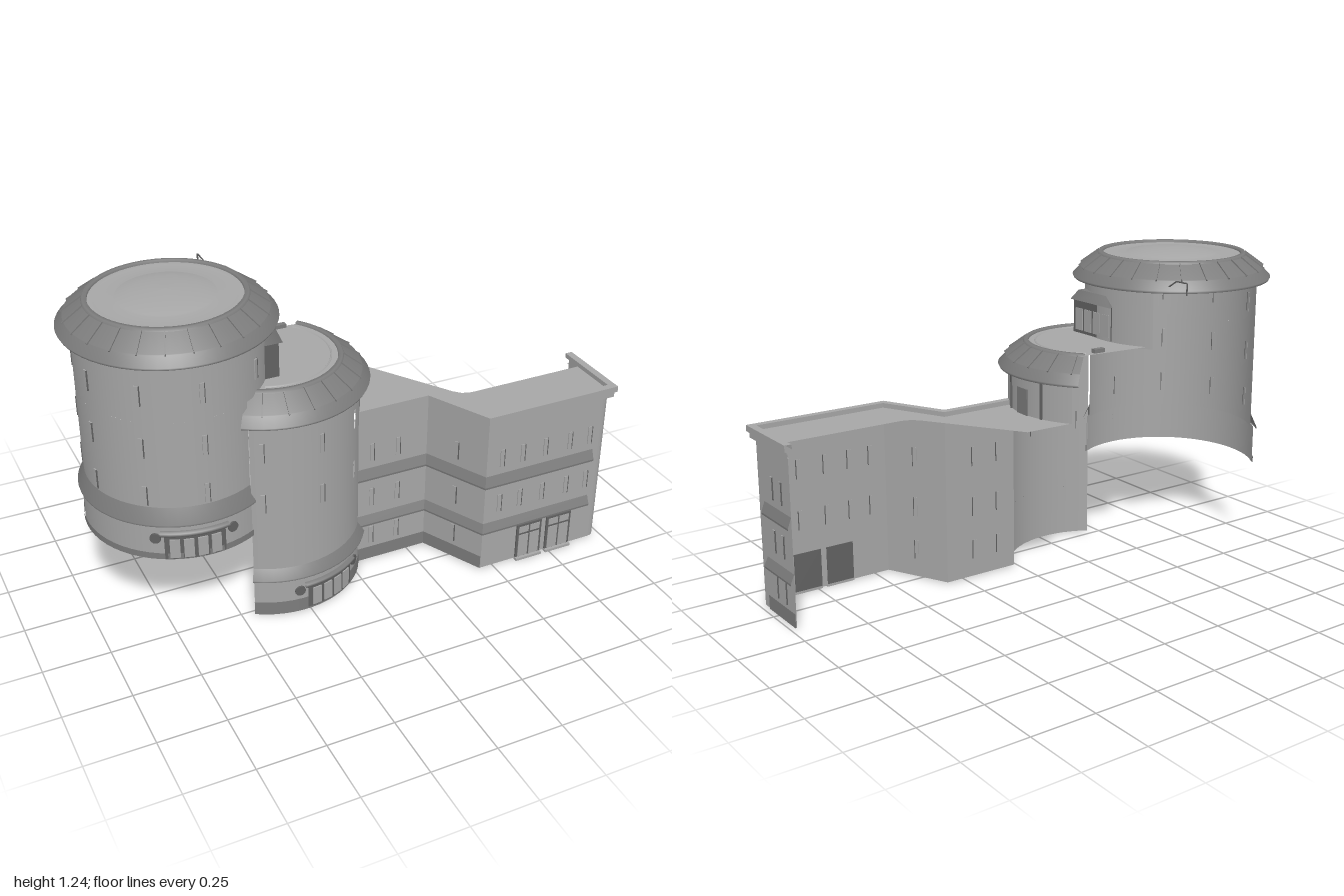
import * as THREE from 'three';

const mat = (name, color) => {
  const m = new THREE.MeshStandardMaterial({ color, side: THREE.DoubleSide });
  m.name = name;
  return m;
};
const RAD = Math.PI / 180;

export function createModel() {
  const wall = mat('wall grey', 0xa6a6a6);
  const tile = mat('tile grey', 0x7c7c7c);
  const frame = mat('frame grey', 0x626262);
  const model = new THREE.Group();

  const group = (name, parent = model) => {
    const g = new THREE.Group();
    g.name = name;
    parent.add(g);
    return g;
  };
  const add = (parent, name, geo, material) => {
    const m = new THREE.Mesh(geo, material);
    m.name = name;
    parent.add(m);
    return m;
  };
  const box = (parent, name, size, pos, material, turn = 0) => {
    const m = add(parent, name, new THREE.BoxGeometry(...size), material);
    m.position.set(...pos);
    m.rotation.y = turn;
    return m;
  };
  // Lathe section over angles a0..a1, in degrees from +x towards +z
  const arc = (parent, name, profile, a0, a1, material) =>
    add(parent, name, new THREE.LatheGeometry(profile.map(p => new THREE.Vector2(...p)),
      Math.max(2, Math.round((a1 - a0) / 6)), (90 - a1) * RAD, (a1 - a0) * RAD), material);
  // Box facing outwards on a tower of radius r
  const onRing = (parent, name, r, deg, y, size, material) =>
    box(parent, name, size, [r * Math.cos(deg * RAD), y, r * Math.sin(deg * RAD)], material, (90 - deg) * RAD);
  // Thin upright window surround with a pane
  const windowAt = (parent, x, y, z, turn, h = 0.075) => {
    const g = group('window', parent);
    g.position.set(x, y, z);
    g.rotation.y = turn;
    box(g, 'windowPane', [0.017, h, 0.005], [0, 0, 0], wall);
    box(g, 'windowEdge', [0.003, h, 0.007], [0.009, 0, 0], frame);
  };
  const ringWindow = (parent, r, deg, y) =>
    windowAt(parent, r * Math.cos(deg * RAD), y, r * Math.sin(deg * RAD), (90 - deg) * RAD);

  // Curved shopfront with four panes, a lintel and a round plaque each side
  const entrance = (parent, r, deg, y0) => {
    const g = group('entrance', parent);
    arc(g, 'doorFrame', [[r + 0.004, y0], [r + 0.004, y0 + 0.105]], deg - 18, deg + 18, frame);
    for (let i = 0; i < 4; i++)
      onRing(g, 'doorPane', r + 0.006, deg - 12 + i * 8, y0 + 0.045, [0.036, 0.075, 0.005], wall);
    arc(g, 'lintel', [[r, y0 + 0.1], [r + 0.016, y0 + 0.1], [r + 0.016, y0 + 0.112], [r, y0 + 0.115]],
      deg - 20, deg + 20, tile);
    for (const s of [-1, 1]) {
      const a = (deg + s * 23) * RAD;
      const p = add(g, 'plaque', new THREE.CylinderGeometry(0.02, 0.02, 0.007, 16), frame);
      p.rotation.set(Math.PI / 2, 0, Math.PI / 2 - a, 'YXZ');
      p.rotation.set(Math.PI / 2, Math.PI / 2 - a, 0, 'YXZ');
      p.position.set((r + 0.004) * Math.cos(a), y0 + 0.085, (r + 0.004) * Math.sin(a));
    }
  };
  // Sloping tiled roof skirt with a raised rim
  const skirt = (parent, y, a0, a1) => {
    arc(parent, 'roofSkirt', [[0.378, y], [0.383, y + 0.01], [0.352, y + 0.042], [0.354, y + 0.046],
      [0.287, y + 0.093]], a0, a1, tile);
    arc(parent, 'roofRim', [[0.287, y + 0.093], [0.282, y + 0.102], [0.268, y + 0.102], [0.266, y + 0.092]], a0, a1, tile);
    for (let a = a0 + 5; a < a1; a += 15)
      onRing(parent, 'tileRib', 0.323, a, y + 0.07, [0.004, 0.006, 0.09], tile).rotation.set(36 * RAD, (90 - a) * RAD, 0, 'YXZ');
  };
  const awning = (r, y, h) => [[r + 0.024, y], [r + 0.026, y + 0.008], [r, y + h]];
  // Flat horizontal outline of [x, z] points
  const slab = (parent, name, pts, y, material) => {
    const geo = new THREE.ShapeGeometry(new THREE.Shape(pts.map(([x, z]) => new THREE.Vector2(x, -z))));
    geo.rotateX(-Math.PI / 2);
    return Object.assign(add(parent, name, geo, material)).position.setY(y);
  };
  const arcPoints = (cx, cz, r, a0, a1, n = 16) => Array.from({ length: n + 1 }, (_, i) => {
    const a = (a0 + (a1 - a0) * i / n) * RAD;
    return [cx + r * Math.cos(a), cz + r * Math.sin(a)];
  });

  // Tall tower, open at the back
  const A = [-0.617, -0.032], B = [-0.27, -0.02];
  const tall = group('tallTower');
  tall.position.set(A[0], 0, A[1]);
  arc(tall, 'lowerWall', [[0.347, 0.36], [0.347, 0.51]], 60, 218, wall);
  arc(tall, 'baseBand', [[0.351, 0.36], [0.351, 0.385]], 60, 218, tile);
  arc(tall, 'awning', awning(0.335, 0.5, 0.065), 60, 218, tile);
  arc(tall, 'middleWall', [[0.335, 0.51], [0.335, 0.9]], 60, 218, wall);
  arc(tall, 'upperWall', [[0.335, 0.9], [0.335, 1.135]], -38, 218, wall);
  skirt(tall, 1.12, 0, 360);
  arc(tall, 'roofTop', [[0.268, 1.212], [0.245, 1.214], [0.24, 1.21], [0.178, 1.212], [0.174, 1.217],
    [0.12, 1.227], [0.06, 1.233], [0, 1.235]].reverse(), 0, 360, wall);
  entrance(tall, 0.347, 100, 0.362);
  for (const deg of [50, 91, 128, 165, 200])
    for (const y of [0.61, 0.8, 1.0]) if (deg > 60 || y > 0.9) ringWindow(tall, 0.336, deg, y);

  // Balcony bay on the side of the tall tower
  const bay = group('balcony');
  box(bay, 'bayFrame', [0.07, 0.13, 0.235], [-0.32, 0.975, 0.037], frame);
  for (let i = 0; i < 4; i++)
    box(bay, 'bayPane', [0.006, 0.085, 0.042], [-0.284, 0.965, -0.045 + i * 0.054], wall);
  const hood = add(bay, 'bayAwning', new THREE.CylinderGeometry(0.7, 1, 0.04, 4, 1).rotateY(Math.PI / 4), tile);
  hood.scale.set(0.056, 1, 0.17);
  hood.position.set(-0.31, 1.06, 0.037);

  // Bracket pole at the eaves
  const pole = new THREE.CurvePath();
  const pp = [[-0.37, 1.13, -0.28], [-0.37, 1.17, -0.345], [-0.37, 1.17, -0.4], [-0.37, 1.125, -0.4]]
    .map(p => new THREE.Vector3(...p));
  for (let i = 0; i < 3; i++) pole.add(new THREE.LineCurve3(pp[i], pp[i + 1]));
  add(model, 'bracketPole', new THREE.TubeGeometry(pole, 24, 0.003, 5), frame);

  // Lower tower, joined to the tall one, with two open slit windows
  const low = group('lowTower');
  low.position.set(B[0], 0, B[1]);
  arc(low, 'wallFront', [[0.345, 0.005], [0.345, 0.83]], 46, 122, wall);
  arc(low, 'wallSide', [[0.345, 0.005], [0.345, 0.83]], 33, 43, wall);
  for (const [y0, y1] of [[0.005, 0.46], [0.53, 0.67], [0.745, 0.83]])
    arc(low, 'wallBetweenSlits', [[0.345, y0], [0.345, y1]], 43, 46, wall);
  arc(low, 'upperWall', [[0.345, 0.67], [0.345, 0.83]], -36, 33, wall);
  arc(low, 'baseBand', [[0.349, 0.005], [0.349, 0.06]], 33, 122, tile);
  arc(low, 'awning', awning(0.345, 0.165, 0.045), 33, 122, tile);
  skirt(low, 0.815, -41, 125);
  entrance(low, 0.349, 71, 0.015);
  for (const deg of [78, 115])
    for (const y of [0.495, 0.705]) ringWindow(low, 0.346, deg, y);
  onRing(low, 'terraceDoor', 0.346, 2, 0.72, [0.066, 0.1, 0.006], tile);
  for (const deg of [-15, 18]) onRing(low, 'wallPost', 0.346, deg, 0.745, [0.008, 0.15, 0.008], frame);
  slab(model, 'lowTowerRoof', [...arcPoints(...B, 0.27, -41, 118), ...arcPoints(...A, 0.335, 55, -34)], 0.908, wall);
  arc(low, 'roofRing', [[0.245, 0.909], [0.242, 0.914], [0.238, 0.909]], -41, 112, wall);
  box(model, 'roofVent', [0.045, 0.015, 0.02], [-0.135, 0.918, -0.19], tile);

  // Wing: strips that follow the facade path, pushed out by a given distance
  const wing = group('wing');
  const strip = (name, path, profile, material) => {
    const dirs = path.slice(1).map((p, i) => new THREE.Vector2(p[0] - path[i][0], p[1] - path[i][1]).normalize());
    const at = (i, [off, y]) => {
      const d = dirs[Math.max(0, i - 1)], e = dirs[Math.min(i, dirs.length - 1)];
      const n = new THREE.Vector2(-d.y - e.y, d.x + e.x), k = 2 * off / n.lengthSq();
      return [path[i][0] + n.x * k, y, path[i][1] + n.y * k];
    };
    const v = [];
    for (let i = 0; i < dirs.length; i++)
      for (let j = 0; j + 1 < profile.length; j++) {
        const a = at(i, profile[j]), b = at(i + 1, profile[j]);
        const c = at(i + 1, profile[j + 1]), d = at(i, profile[j + 1]);
        v.push(...a, ...b, ...c, ...a, ...c, ...d);
      }
    const geo = new THREE.BufferGeometry();
    geo.setAttribute('position', new THREE.Float32BufferAttribute(v, 3));
    geo.computeVertexNormals();
    add(wing, name, geo, material);
  };
  const bend = [[0.015, 0.14], [0.325, 0.14], [0.445, 0.385]];
  const corner = arcPoints(0.945, 0.35, 0.035, 90, 0, 5);
  const facade = [...bend, ...corner, [0.98, 0.1]];
  const end = [[0.98, 0.315], [0.98, 0.1]];
  strip('facadeWall', facade, [[0, 0.005], [0, 0.65]], wall);
  strip('parapet', [...bend, [0.98, 0.385], [0.98, 0.09]],
    [[0, 0.64], [0.008, 0.642], [0.008, 0.66], [0.016, 0.665], [0.016, 0.688], [-0.012, 0.688], [-0.012, 0.67]], wall);
  for (const path of [[...bend, [0.92, 0.385]], end]) {
    strip('upperAwning', path, [[0.014, 0.375], [0.015, 0.383], [0, 0.422]], tile);
    strip('lowerAwning', path, [[0.014, 0.168], [0.015, 0.176], [0, 0.21]], tile);
  }
  for (const path of [bend, end]) strip('baseBand', path, [[0.004, 0.005], [0.004, 0.06]], tile);
  slab(wing, 'wingRoof', [...bend, [0.98, 0.385], [0.98, 0.175], [0.49, 0.175], [0.455, 0.165], [0.43, 0.14],
    [0.2, -0.215], ...arcPoints(...B, 0.345, -35, 28)], 0.67, wall);

  // Wing windows
  for (const y of [0.115, 0.29, 0.49]) {
    for (const x of [0.09, 0.2]) windowAt(wing, x, y, 0.141, 0);
    windowAt(wing, 0.385, y, 0.2635, 64 * RAD - Math.PI / 2 - 38 * RAD);
    if (y > 0.2) for (const x of [0.51, 0.6, 0.7, 0.81, 0.9]) windowAt(wing, x, y, 0.386, 0);
    for (const z of [0.245, 0.175]) windowAt(wing, 0.981, y, z, Math.PI / 2, 0.085);
  }

  // Wing double doors
  for (const x of [0.655, 0.79]) {
    const g = group('doubleDoor', wing);
    box(g, 'doorFrame', [0.112, 0.15, 0.008], [x, 0.085, 0.387], frame);
    for (const s of [-1, 1]) {
      box(g, 'doorLeaf', [0.043, 0.1, 0.006], [x + s * 0.025, 0.062, 0.39], wall);
      box(g, 'transom', [0.043, 0.028, 0.006], [x + s * 0.025, 0.136, 0.39], wall);
    }
    box(g, 'doorStep', [0.115, 0.01, 0.02], [x, 0.005, 0.393], wall);
  }
  return model;
}
